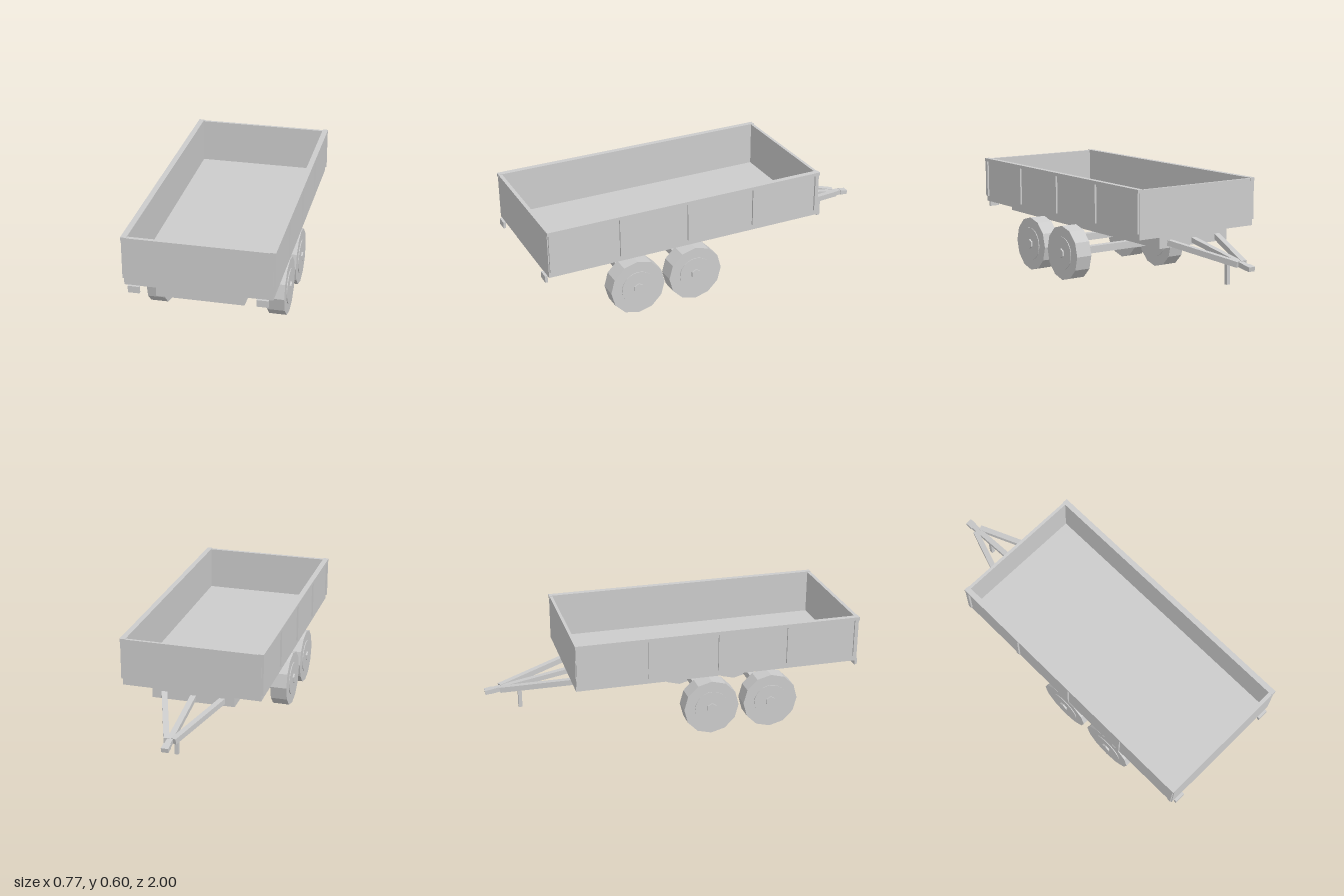
import * as THREE from 'three';

const material = new THREE.MeshStandardMaterial({ color: 0xcccccc, flatShading: true });

function add(parent, name, geometry, x = 0, y = 0, z = 0) {
  const mesh = new THREE.Mesh(geometry, material);
  mesh.name = name;
  mesh.position.set(x, y, z);
  parent.add(mesh);
  return mesh;
}

// Box given by its lower and upper corners
function box(parent, name, [x0, y0, z0], [x1, y1, z1]) {
  return add(parent, name, new THREE.BoxGeometry(x1 - x0, y1 - y0, z1 - z0),
    (x0 + x1) / 2, (y0 + y1) / 2, (z0 + z1) / 2);
}

// Square bar running between two points
function bar(parent, name, from, to, width, height) {
  const a = new THREE.Vector3(...from), b = new THREE.Vector3(...to);
  const mid = a.clone().add(b).multiplyScalar(0.5);
  const mesh = add(parent, name, new THREE.BoxGeometry(width, height, a.distanceTo(b)), mid.x, mid.y, mid.z);
  mesh.lookAt(b);
  return mesh;
}

// Cylinder lying along x, with a corner pointing down (or sideways if turned)
function disc(parent, name, radius, width, sides, turn = 0) {
  const geometry = new THREE.CylinderGeometry(radius, radius, width, sides);
  geometry.rotateY(turn).rotateZ(Math.PI / 2);
  return add(parent, name, geometry);
}

function wheel(x, y, z) {
  const group = new THREE.Group();
  group.name = 'wheel';
  disc(group, 'tyre', 0.152, 0.092, 12);
  disc(group, 'rim', 0.092, 0.1, 24);
  disc(group, 'hub', 0.027, 0.118, 6, Math.PI / 6 * 3);
  group.position.set(x, y, z);
  return group;
}

export function createModel() {
  const model = new THREE.Group();
  model.name = 'trailer';
  const back = -0.568, front = 0.986;

  // Open cargo bed
  const bed = new THREE.Group();
  bed.name = 'cargoBed';
  model.add(bed);
  box(bed, 'floor', [-0.372, 0.34, back], [0.372, 0.352, front]);
  box(bed, 'frontWall', [-0.372, 0.34, front - 0.02], [0.372, 0.594, front]);
  box(bed, 'backWall', [-0.372, 0.34, back], [0.372, 0.594, back + 0.016]);
  for (const s of [-1, 1]) {
    const xs = (a, b) => (s > 0 ? [a, b] : [-b, -a]);
    const [w0, w1] = xs(0.354, 0.372);
    box(bed, 'sideWall', [w0, 0.34, back + 0.001], [w1, 0.593, front - 0.001]);
    const [r0, r1] = xs(0.353, 0.383);
    box(bed, 'sideRail', [r0, 0.579, back - 0.002], [r1, 0.597, front + 0.001]);
    // Upright stakes along the side
    const [p0, p1] = xs(0.371, 0.382);
    for (let i = 0; i < 5; i++) {
      const z = 0.971 - i * 0.3815;
      box(bed, 'stake', [p0, 0.371, z - 0.01], [p1, 0.58, z + 0.01]);
    }
    // Small lamps below the tailgate
    const [l0, l1] = xs(0.292, 0.351);
    box(model, 'lamp', [l0, 0.305, front], [l1, 0.341, 1.0]);
  }

  // Chassis under the bed
  box(model, 'chassis', [-0.223, 0.273, -0.535], [0.223, 0.341, 0.95]);

  // Twin axles with a wheel at each end
  for (const z of [0.5, 0.168]) {
    box(model, 'axle', [-0.28, 0.133, z - 0.02], [0.28, 0.173, z + 0.02]);
    for (const s of [-1, 1]) model.add(wheel(s * 0.318, 0.153, z));
  }

  // Sloping A-frame drawbar
  const drawbar = new THREE.Group();
  drawbar.name = 'drawbar';
  model.add(drawbar);
  bar(drawbar, 'centreBeam', [0, 0.3, -0.52], [0, 0.222, -0.975], 0.03, 0.026);
  for (const s of [-1, 1])
    bar(drawbar, 'diagonalBeam', [s * 0.158, 0.3, -0.53], [s * 0.018, 0.234, -0.915], 0.03, 0.03);
  bar(drawbar, 'coupling', [0, 0.228, -0.955], [0, 0.221, -0.998], 0.038, 0.024);

  // Support leg
  box(model, 'supportLeg', [-0.01, 0.111, -0.82], [0.01, 0.25, -0.8]);

  return model;
}
